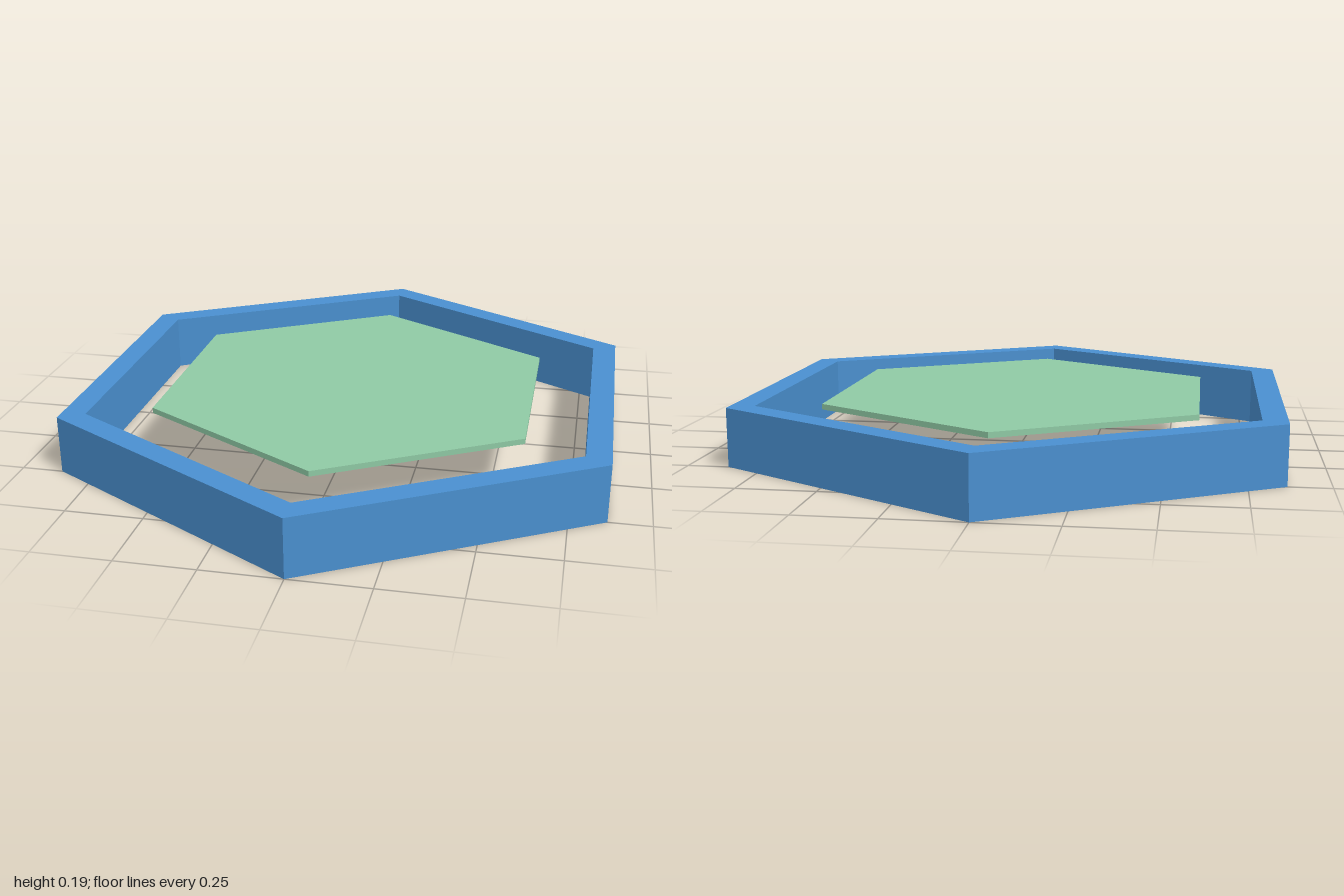
import * as THREE from 'three';

// Corners of a hexagon with a point at front and back
function hexPoints(radius) {
  return Array.from({ length: 6 }, (_, i) => {
    const a = Math.PI / 2 + (i * Math.PI) / 3;
    return new THREE.Vector2(radius * Math.cos(a), radius * Math.sin(a));
  });
}

// Upright hexagonal slab, optionally with a hexagonal hole
function hexSlab(name, color, radius, holeRadius, bottom, height) {
  const shape = new THREE.Shape(hexPoints(radius));
  if (holeRadius) shape.holes.push(new THREE.Path(hexPoints(holeRadius)));
  const geometry = new THREE.ExtrudeGeometry(shape, { depth: height, bevelEnabled: false });
  geometry.rotateX(-Math.PI / 2);
  geometry.translate(0, bottom, 0);
  const mesh = new THREE.Mesh(geometry, new THREE.MeshStandardMaterial({ color, flatShading: true }));
  mesh.name = name;
  return mesh;
}

export function createModel() {
  const model = new THREE.Group();
  model.name = 'hexagonTile';

  // Raised outer rim
  model.add(hexSlab('rim', 0x4a90d0, 1, 0.91, 0, 0.19));

  // Thin panel held just below the top of the rim
  model.add(hexSlab('centrePanel', 0x8fcaa5, 0.695, 0, 0.163, 0.018));

  return model;
}
